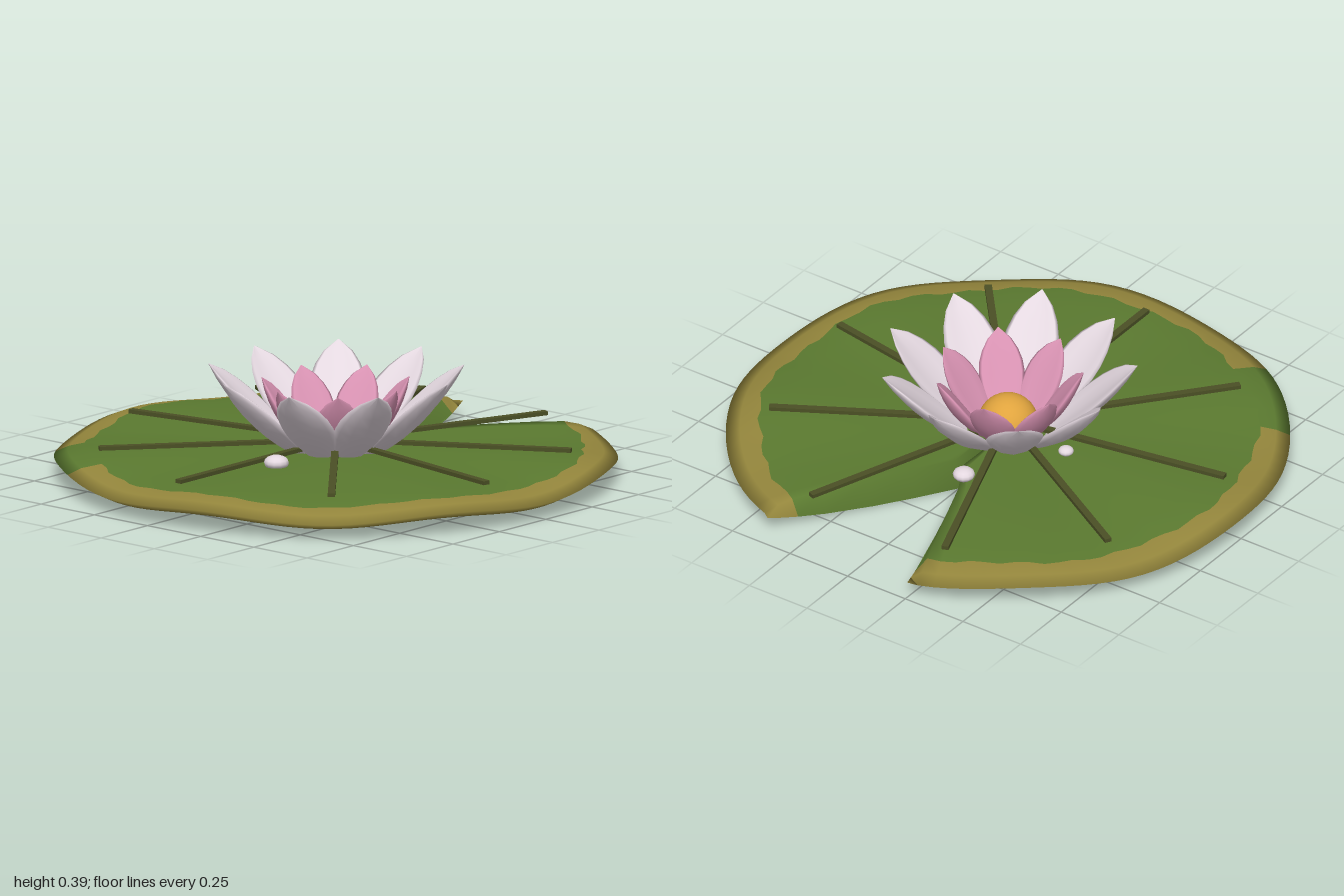
import * as THREE from 'three';

const mat = (name, color, extra = {}) => {
  const m = new THREE.MeshStandardMaterial({ color, ...extra });
  m.name = name;
  return m;
};

// Surface through rows of points; pick(i, j) gives the material slot of each quad
function loft(rows, cols, point, closed, pick = () => 0) {
  const pos = [], faces = [[], []];
  const n = closed ? cols : cols + 1;
  for (let i = 0; i <= rows; i++)
    for (let j = 0; j < n; j++) pos.push(...point(i, j));
  for (let i = 0; i < rows; i++)
    for (let j = 0; j < cols; j++) {
      const k = (j + 1) % n;
      const a = i * n + j, b = i * n + k, c = a + n, d = b + n;
      faces[pick(i, j)].push(a, b, c, b, d, c);
    }
  const g = new THREE.BufferGeometry();
  g.setAttribute('position', new THREE.Float32BufferAttribute(pos, 3));
  g.setIndex(faces.flat());
  g.addGroup(0, faces[0].length, 0);
  g.addGroup(faces[0].length, faces[1].length, 1);
  g.computeVertexNormals();
  return g;
}

// Petal along +x: flattened loops, widest past the middle, edges cupped upward
function petalGeometry(length, halfWidth, thickness, cup) {
  const rows = 10, cols = 12;
  return loft(rows, cols, (i, j) => {
    const u = i / rows, a = (j / cols) * Math.PI * 2;
    const s = Math.max(0.015, Math.pow(Math.abs(Math.sin(Math.PI * Math.pow(u, 1.35))), 0.75));
    const c = Math.cos(a);
    return [u * length, -thickness * s * Math.sin(a) + cup * s * c * c - 0.05 * length * Math.sin(Math.PI * u),
      halfWidth * s * c];
  }, true);
}

// Lily pad: closed lens profile swept round, with a notch opening towards +x
function padGeometry() {
  const profile = [[0.02, 0.105], [0.15, 0.107], [0.3, 0.11], [0.45, 0.111], [0.6, 0.112], [0.78, 0.108],
    [0.885, 0.102], [0.95, 0.09], [1, 0.068], [0.95, 0.042], [0.885, 0.032], [0.6, 0.025],
    [0.45, 0.027], [0.3, 0.03], [0.15, 0.034], [0.02, 0.038]];
  const cols = 96, apex = 0.3, topRim = 6, lowRim = 10;
  const limit = (r, slope) => r <= apex ? 0 : slope - Math.asin(apex * Math.sin(slope) / r);
  const angle = (r, j) => {
    const lo = limit(r, 0.565), hi = Math.PI * 2 - limit(r, 0.354);
    if (j === 0) return lo;
    if (j === cols) return hi;
    const open = Math.max(0, (r - apex) / (1 - apex));
    const a = lo + Math.min(0.15, 0.02 / r);
    const b = hi - Math.min(0.15, (0.02 + 0.05 * Math.sqrt(open) * (1 - open * 0.6)) / r);
    return a + (b - a) * (j - 1) / (cols - 2);
  };
  return loft(profile.length - 1, cols, (i, j) => {
    let [r, y] = profile[i];
    const phi = angle(r, j);
    y += 0.012 * r * r * Math.sin(7 * phi);
    if (j === 0 || j === cols) y = 0.06 * r ** 4;
    if (i === topRim) r += 0.008 * Math.sin(j * 1.9) + 0.008 * Math.sin(j * 0.53);
    return [r * Math.cos(phi), y, r * Math.sin(phi)];
  }, false, (i, j) => {
    if (i < topRim || i >= lowRim) return 0;
    const deg = THREE.MathUtils.radToDeg(angle(1, j + 0.5 > cols - 1 ? cols - 1 : j + 0.5));
    return i < 8 && deg > 211 && deg < 234 ? 0 : 1;
  });
}

export function createModel() {
  const green = mat('leaf green', 0x5b7a30, { side: THREE.DoubleSide });
  const ochre = mat('rim ochre', 0x94863c, { side: THREE.DoubleSide });
  const veinGreen = mat('vein dark green', 0x4b5025);
  const white = mat('petal white', 0xe4d8e0);
  const pink = mat('petal pink', 0xd993b3);
  const gold = mat('centre gold', 0xe0a43e);

  const model = new THREE.Group();
  model.name = 'waterLily';
  const add = (name, geometry, material, parent = model) => {
    const m = new THREE.Mesh(geometry, material);
    m.name = name;
    parent.add(m);
    return m;
  };

  add('lilyPad', padGeometry(), [green, ochre]);

  // Straight veins lying just above the pad
  const veins = new THREE.Group();
  veins.name = 'veins';
  model.add(veins);
  const veinGeo = new THREE.BoxGeometry(0.77, 0.014, 0.026).translate(0.465, 0.131, 0);
  for (let i = 0; i < 9; i++)
    add('vein', veinGeo, veinGreen, veins).rotation.y = -THREE.MathUtils.degToRad(20 + 40 * i);

  // Two rings of petals
  const petalRing = (name, count, startDeg, tilt, root, geometry, material) => {
    const ring = new THREE.Group();
    ring.name = name + 's';
    model.add(ring);
    for (let i = 0; i < count; i++) {
      const a = THREE.MathUtils.degToRad(startDeg + 360 * i / count);
      const p = add(name, geometry, material, ring);
      p.position.set(root * Math.cos(a), 0.025, root * Math.sin(a));
      p.rotation.set(0, -a, tilt);
    }
  };
  petalRing('outerPetal', 9, 0, 0.71, 0.04, petalGeometry(0.555, 0.102, 0.02, 0.03), white);
  petalRing('innerPetal', 7, -17, 0.93, 0.03, petalGeometry(0.4, 0.082, 0.02, 0.02), pink);

  add('flowerCentre', new THREE.SphereGeometry(0.108, 24, 16), gold).position.y = 0.118;

  // Water drops on the pad
  for (const [x, z, r] of [[0.37, -0.07, 0.04], [-0.39, 0.06, 0.045], [0.04, -0.28, 0.028]]) {
    const d = add('waterDrop', new THREE.SphereGeometry(r, 12, 8), white);
    d.scale.y = 0.6;
    d.position.set(x, 0.127, z);
  }

  model.position.x = 0.016;
  const root = new THREE.Group();
  root.name = 'model';
  root.add(model);
  return root;
}
